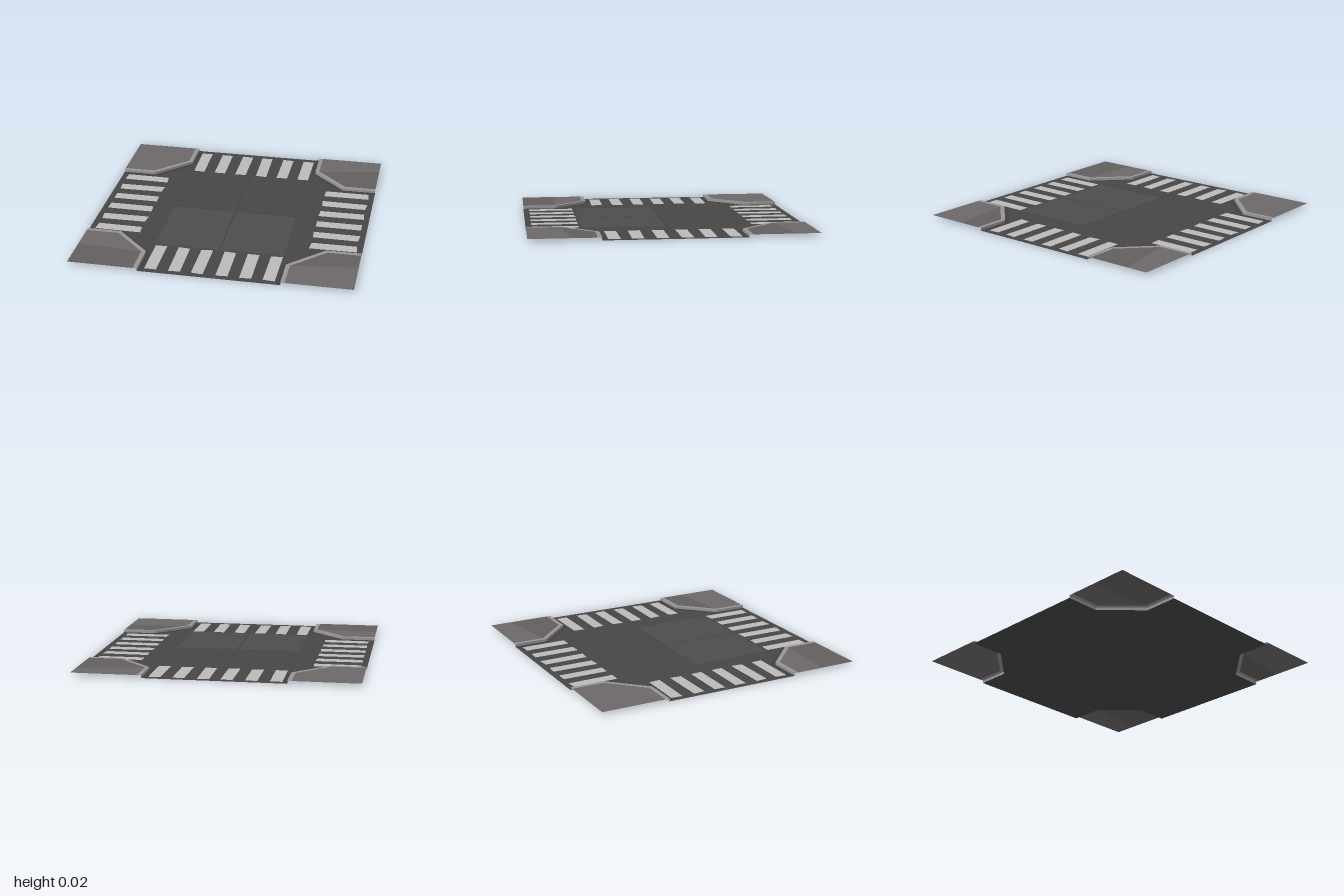
import * as THREE from 'three';

const CURB_HEIGHT = 0.02;
const paint = (color) => new THREE.MeshStandardMaterial({ color, side: THREE.DoubleSide });
const mats = {
  road: paint(0x474545),
  roadWarm: paint(0x484545),
  roadCool: paint(0x4c4c4c),
  seam: paint(0x3f3d3d),
  gutter: paint(0x403e3e),
  stripe: paint(0xbababa),
  curb: paint(0x979595),
  pavingLight: paint(0x6c686a),
  pavingDark: paint(0x645e5e),
};

// Horizontal polygon from [x, z] corners at height y, facing up
function flat(name, points, y, material) {
  const shape = new THREE.Shape(points.map(([x, z]) => new THREE.Vector2(x, -z)));
  const geometry = new THREE.ShapeGeometry(shape).rotateX(-Math.PI / 2).translate(0, y, 0);
  const mesh = new THREE.Mesh(geometry, material);
  mesh.name = name;
  return mesh;
}

const rect = (x0, z0, x1, z1) => [[x0, z0], [x1, z0], [x1, z1], [x0, z1]];

// Vertical strip standing on a path of [x, z] points
function wall(name, path, height, material) {
  const positions = [];
  for (let i = 0; i < path.length - 1; i++) {
    const [ax, az] = path[i], [bx, bz] = path[i + 1];
    positions.push(ax, 0, az, bx, 0, bz, bx, height, bz);
    positions.push(ax, 0, az, bx, height, bz, ax, height, az);
  }
  const geometry = new THREE.BufferGeometry();
  geometry.setAttribute('position', new THREE.Float32BufferAttribute(positions, 3));
  geometry.computeVertexNormals();
  const mesh = new THREE.Mesh(geometry, material);
  mesh.name = name;
  return mesh;
}

// Chamfered corner path, offset away from the road
const cornerPath = (offset) => {
  const a = 0.5 + offset, b = 0.75 + offset * 0.414;
  return [[a, 1], [a, b], [b, a], [1, a]];
};

function createRoad() {
  const road = new THREE.Group();
  road.name = 'road';
  const outline = [];
  for (const [sx, sz] of [[1, 1], [1, -1], [-1, -1], [-1, 1]]) {
    const corner = cornerPath(0).map(([x, z]) => [x * sx, z * sz]);
    outline.push(...(sx * sz > 0 ? corner : corner.reverse()));
  }
  road.add(flat('asphalt', outline, 0, mats.road));

  // Tinted asphalt panels and the seams between them
  const y = 0.0004;
  road.add(flat('asphaltPanel', rect(-0.45, -0.6, -0.005, -0.005), y, mats.roadWarm));
  road.add(flat('asphaltPanel', rect(0.005, -0.49, 0.6, -0.005), y, mats.roadWarm));
  road.add(flat('asphaltPanel', rect(-0.47, 0.005, -0.005, 0.6), y, mats.roadCool));
  road.add(flat('asphaltPanel', rect(0.005, 0.005, 0.46, 0.6), y, mats.roadCool));
  road.add(flat('seamAcross', rect(-0.6, -0.004, 0.6, 0.004), 0.0006, mats.seam));
  road.add(flat('seamAlong', rect(-0.004, -0.6, 0.004, 0.6), 0.0006, mats.seam));
  return road;
}

// Six slightly uneven painted bars, one crossing per side of the tile
function createCrosswalk(side) {
  const crosswalk = new THREE.Group();
  crosswalk.name = 'crosswalk';
  for (let i = 0; i < 6; i++) {
    const x = (i - 2.5) * 0.167, w = 0.042;
    const skew = 0.004 * Math.sin(i * 2.3 + side * 1.7);
    const bar = [[x - w, 0.623 - skew], [x + w, 0.623 + skew],
      [x + w + skew, 0.957 - skew], [x - w + skew, 0.957 + skew]];
    crosswalk.add(flat('crosswalkStripe', bar, 0.001, mats.stripe));
  }
  crosswalk.rotation.y = side * Math.PI / 2;
  return crosswalk;
}

// Raised pavement corner with its curb and gutter
function createCorner(sx, sz, splitZ, outerMat, innerMat) {
  const corner = new THREE.Group();
  corner.name = 'pavementCorner';
  const place = (points) => points.map(([x, z]) => [x * sx, z * sz]);
  const outer = cornerPath(0), inner = cornerPath(0.03), gutter = cornerPath(-0.03);
  const band = (a, b) => place([...a, ...[...b].reverse()]);

  corner.add(flat('gutter', band(gutter, outer), 0.0008, mats.gutter));
  const face = place(outer);
  corner.add(wall('curbFace', sx * sz > 0 ? face.reverse() : face, CURB_HEIGHT, mats.curb));
  corner.add(flat('curbTop', band(outer, inner), CURB_HEIGHT, mats.curb));
  corner.add(flat('pavingOuter', place([inner[0], inner[1], [1, splitZ], [1, 1]]), CURB_HEIGHT, outerMat));
  corner.add(flat('pavingInner', place([inner[1], inner[2], inner[3], [1, splitZ]]), CURB_HEIGHT, innerMat));
  return corner;
}

export function createModel() {
  const model = new THREE.Group();
  model.name = 'roadCrossing';
  model.add(createRoad());
  for (let side = 0; side < 4; side++) model.add(createCrosswalk(side));
  const { pavingLight: light, pavingDark: dark } = mats;
  model.add(createCorner(-1, -1, 0.78, light, light));
  model.add(createCorner(1, -1, 0.84, light, dark));
  model.add(createCorner(-1, 1, 0.73, dark, light));
  model.add(createCorner(1, 1, 0.7, light, dark));
  return model;
}
